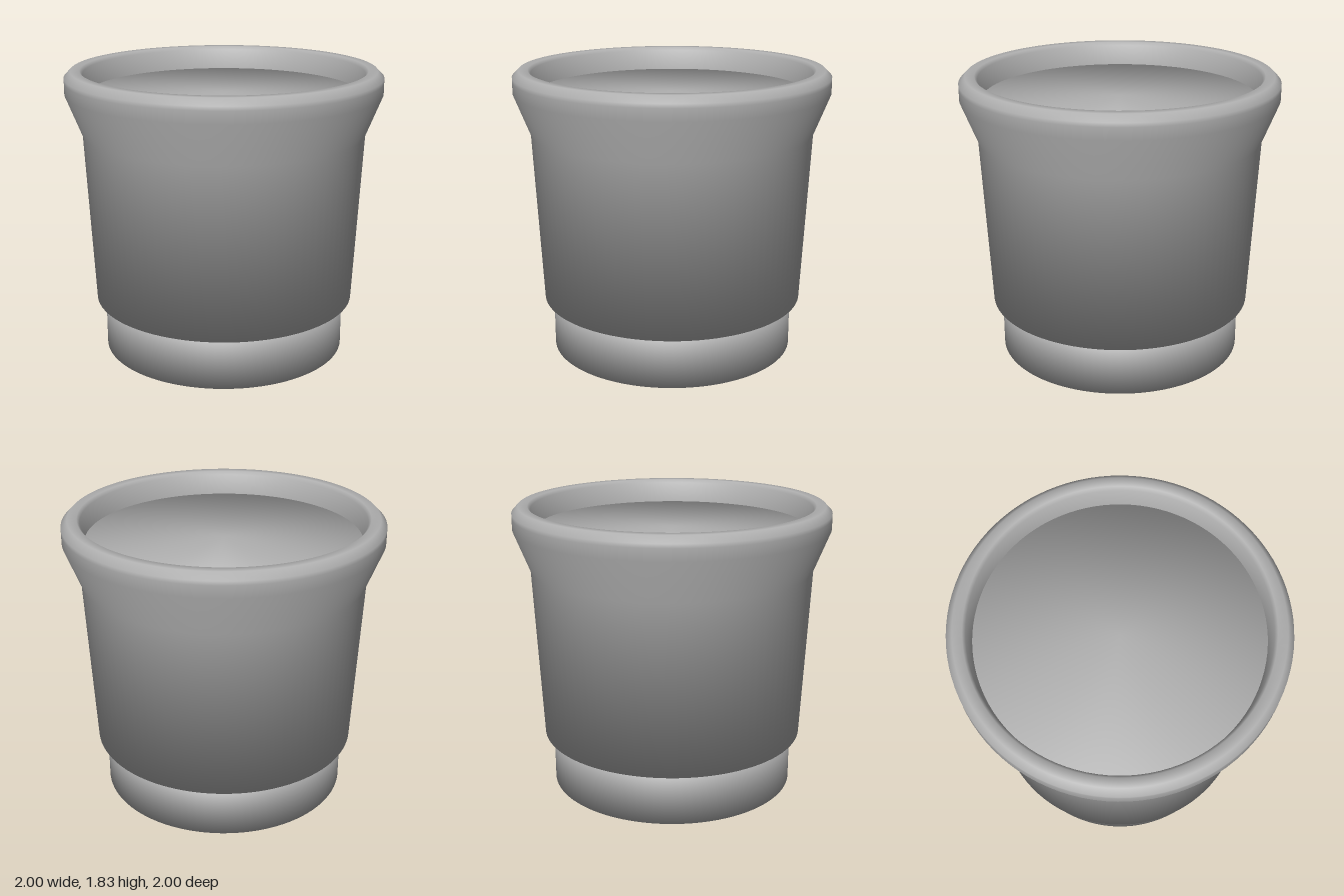
import * as THREE from 'three';

const SEGMENTS = 96;

// Turned part with softly averaged normals; profile runs bottom to top along the outside.
function turned(name, profile, material) {
  const points = profile.map(([r, y]) => new THREE.Vector2(r, y));
  const geometry = new THREE.LatheGeometry(points, SEGMENTS);
  const last = points.length - 1;

  // Unit normal of each profile segment, averaged equally at each point
  const faces = points.slice(1).map((p, i) => {
    const d = p.clone().sub(points[i]).normalize();
    return new THREE.Vector2(d.y, -d.x);
  });
  const normals = points.map((p, i) =>
    faces[Math.max(i - 1, 0)].clone().add(faces[Math.min(i, last - 1)]).normalize());

  // Cap centres match the slope of the cap edge, giving an even dome-like shade
  if (points[0].x === 0) normals[0].set(0, normals[1].y);
  if (points[last].x === 0) normals[last].set(0, normals[last - 1].y);

  const attribute = geometry.attributes.normal;
  for (let s = 0; s <= SEGMENTS; s++) {
    const a = (s / SEGMENTS) * Math.PI * 2;
    normals.forEach((n, i) => attribute.setXYZ(
      s * points.length + i, n.x * Math.sin(a), n.y, n.x * Math.cos(a)));
  }
  const mesh = new THREE.Mesh(geometry, material);
  mesh.name = name;
  return mesh;
}

export function createModel() {
  const group = new THREE.Group();
  group.name = 'cup';
  const grey = new THREE.MeshStandardMaterial({ color: 0xb0b0b0 });
  grey.name = 'plain grey';

  // Foot: capped cylinder under the body
  group.add(turned('foot', [[0, 0], [0.785, 0], [0.785, 0.335], [0, 0.335]], grey));

  // Body: tapered wall flaring into a rounded rim, then down the inner lip
  group.add(turned('body', [
    [0.7, 0.335], [0.842, 0.335], [0.896, 1.43], [0.998, 1.69], [0.998, 1.765],
    [0.998, 1.79], [0.958, 1.83], [0.9, 1.83], [0.882, 1.81], [0.86, 1.66],
  ], grey));

  // Filling: solid disc set just below the rim
  group.add(turned('filling', [[0, 1.5], [0.862, 1.5], [0.862, 1.68], [0, 1.68]], grey));

  return group;
}
